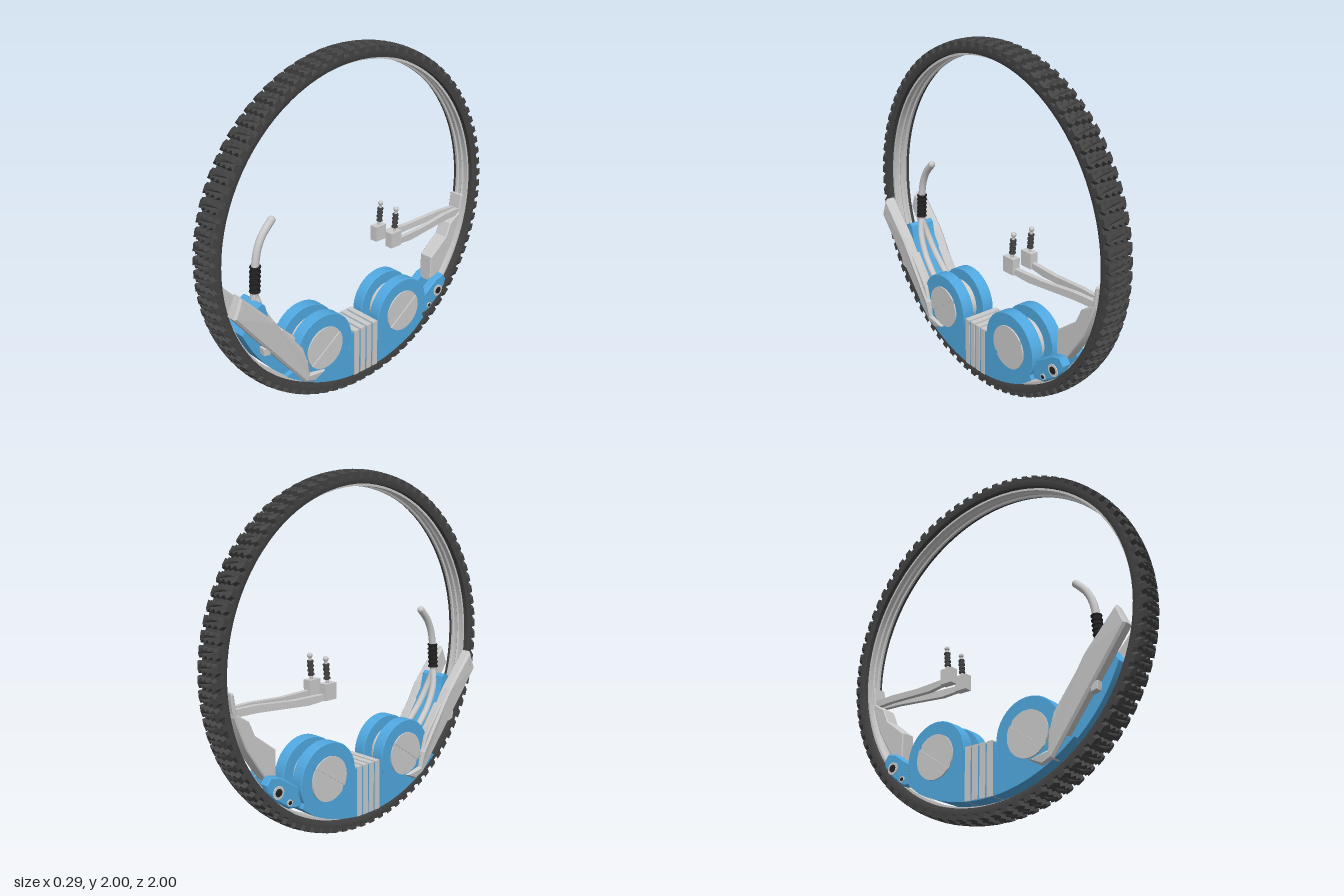
import * as THREE from 'three';
import { mergeGeometries, toCreasedNormals } from 'three/addons/utils/BufferGeometryUtils.js';

const grey = new THREE.MeshStandardMaterial({ color: 0xcccccc });
const blue = new THREE.MeshStandardMaterial({ color: 0x50a8e0 });
const dark = new THREE.MeshStandardMaterial({ color: 0x444444 });
const black = new THREE.MeshStandardMaterial({ color: 0x222222 });

// Points on an arc in the side plane (z, y), angles in degrees
function arc(cz, cy, r, a0, a1, n) {
  return Array.from({ length: n + 1 }, (_, i) => {
    const a = THREE.MathUtils.degToRad(a0 + (a1 - a0) * i / n);
    return [cz + r * Math.cos(a), cy + r * Math.sin(a)];
  });
}

// Side outline (z, y) extruded from x0 to x1
function slab(pts, x0, x1, bevel = 0) {
  const shape = new THREE.Shape(pts.map(p => new THREE.Vector2(...p)));
  const depth = x1 - x0 - 2 * bevel;
  const g = new THREE.ExtrudeGeometry(shape, {
    depth, bevelEnabled: bevel > 0, bevelThickness: bevel, bevelSize: bevel,
    bevelOffset: -bevel, bevelSegments: 1
  });
  g.translate(0, 0, -depth / 2).rotateY(-Math.PI / 2).translate((x0 + x1) / 2, 0, 0);
  return toCreasedNormals(g, 0.5);
}

// Cylinder lying along x
function disc(r, x0, x1, y, z, seg = 48) {
  return new THREE.CylinderGeometry(r, r, x1 - x0, seg).rotateZ(Math.PI / 2).translate((x0 + x1) / 2, y, z);
}

// Closed ring profile [radius, x] turned around the x axis
function ring(profile) {
  const pts = [...profile, profile[0]].map(p => new THREE.Vector2(...p));
  return toCreasedNormals(new THREE.LatheGeometry(pts, 96).rotateZ(Math.PI / 2), 0.5);
}

function tube(pts, r) {
  const curve = new THREE.CatmullRomCurve3(pts.map(p => new THREE.Vector3(...p)));
  return new THREE.TubeGeometry(curve, 20, r, 12);
}

// One zigzag tread bar, crowned towards the middle of the tyre
function treadBar() {
  const top = [], bottom = [];
  for (let i = 0; i <= 8; i++) {
    const x = -0.08 + 0.02 * i, s = i % 2 ? 0.009 : -0.009;
    top.push(new THREE.Vector2(x, s + 0.02));
    bottom.push(new THREE.Vector2(x, s - 0.02));
  }
  const g = new THREE.ExtrudeGeometry(new THREE.Shape([...bottom, ...top.reverse()]), { depth: 0.04, bevelEnabled: false });
  const p = g.attributes.position;
  for (let i = 0; i < p.count; i++) {
    const crown = 0.014 * (p.getX(i) / 0.08) ** 2;
    p.setZ(i, p.getZ(i) + 0.96 - crown);
  }
  g.computeVertexNormals();
  return g;
}

export function createModel() {
  const model = new THREE.Group();
  const add = (name, geometry, material = grey) => {
    const m = new THREE.Mesh(geometry, material);
    m.name = name;
    model.add(m);
    return m;
  };
  const sides = [[1, 'left'], [-1, 'right']];
  const span = (s, a, b) => s > 0 ? [a, b] : [-b, -a];

  // Wheel: tyre, treads and channelled rim
  add('tyre', ring([[0.925, -0.072], [0.95, -0.08], [0.962, -0.078], [0.97, 0], [0.962, 0.078], [0.95, 0.08], [0.925, 0.072]]), dark).position.y = 1;
  const bars = [], N = 84;
  for (let i = 0; i < N; i++) bars.push(treadBar().rotateX(i / N * Math.PI * 2));
  add('tyreTreads', mergeGeometries(bars), dark).position.y = 1;
  add('rim', ring([[0.935, -0.045], [0.935, 0.045], [0.912, 0.045], [0.912, 0.032], [0.922, 0.028], [0.922, 0.008],
    [0.914, 0], [0.922, -0.008], [0.922, -0.028], [0.912, -0.032], [0.912, -0.045]])).position.y = 1;

  // Lower hull and narrower nose inside the wheel
  add('hull', slab([...arc(0, 1, 0.9, -117, -50, 32), [0.5, 0.33], [0.31, 0.25], [0.12, 0.3], [0.1, 0.385],
    [-0.1, 0.385], [-0.12, 0.3], [-0.3, 0.25], [-0.47, 0.3], [-0.49, 0.26]], -0.108, 0.108), blue);
  add('nose', slab([...arc(0, 1, 0.9, -62, -23, 20), [0.75, 0.76], [0.7, 0.785], [0.68, 0.77], [0.66, 0.68],
    [0.5, 0.46], [0.44, 0.4], [0.4, 0.28]], -0.078, 0.078), blue);
  for (let i = 0; i < 4; i++)
    add('hullRib', new THREE.BoxGeometry(0.226, 0.29, 0.035).translate(0, 0.249, (i - 1.5) * 0.048));

  // Twin drums, each with a core, two discs and slotted caps
  for (const z of [0.31, -0.3]) {
    add('drumCore', disc(0.13, -0.06, 0.06, 0.38, z));
    for (const [s, side] of sides) {
      add(side + 'DrumDisc', slab(arc(z, 0.38, 0.2, 0, 354, 59), ...span(s, 0.036, 0.108), 0.004), blue);
      add(side + 'CapBase', disc(0.125, ...span(s, 0.09, 0.1095), 0.38, z));
      for (const a of [-35, 145])
        add(side + 'CapHalf', slab(arc(z, 0.38, 0.125, a - 175 + 180, a + 175, 28), ...span(s, 0.1, 0.116)));
    }
  }

  for (const [s, side] of sides) {
    // Front leg shell, tapering inwards at its foot
    const shell = slab([[0.866, 0.91], [0.914, 0.8], [0.46, 0.225], [0.396, 0.2], [0.316, 0.245], [0.43, 0.27],
      [0.445, 0.36], [0.674, 0.706]].reverse(), ...span(s, 0.072, 0.145), 0.012);
    const p = shell.attributes.position;
    for (let i = 0; i < p.count; i++) {
      const t = THREE.MathUtils.clamp((0.55 - p.getY(i)) / 0.35, 0, 1);
      p.setX(i, p.getX(i) - s * 0.026 * t * t);
    }
    shell.computeVertexNormals();
    add(side + 'LegShell', shell);
    add(side + 'ShellPad', slab([[0.645, 0.61], [0.52, 0.42], [0.45, 0.36], [0.475, 0.45], [0.61, 0.625]].reverse(),
      ...span(s, 0.07, 0.128), 0.006));
    add(side + 'ShellStep', slab([[0.735, 0.555], [0.73, 0.51], [0.69, 0.5], [0.69, 0.555]].reverse(),
      ...span(s, 0.084, 0.125), 0.004));
    const slot = add(side + 'ShellSlot', disc(0.02, ...span(s, 0.14, 0.147), 0, 0, 20));
    slot.scale.set(1, 1.6, 0.6);
    slot.position.set(0, 0.835, 0.868);
    slot.rotation.x = -0.4;

    // Control lever leg
    add(side + 'LeverLeg', tube([[0, 0.8, 0.685], [s * 0.02, 0.72, 0.665], [s * 0.035, 0.6, 0.6], [s * 0.045, 0.47, 0.48]], 0.02));

    // Rear bracket with bolts
    add(side + 'RearBracket', slab([[-0.42, 0.25], [-0.5, 0.265], [-0.56, 0.275], [-0.64, 0.335], [-0.7, 0.4], [-0.71, 0.44],
      [-0.68, 0.48], [-0.62, 0.465], [-0.54, 0.41], [-0.46, 0.36]].reverse(), ...span(s, 0.03, 0.085), 0.008), blue);
    for (const [r, y, z] of [[0.036, 0.385, -0.635], [0.018, 0.31, -0.56]]) {
      add(side + 'BracketWasher', disc(r, ...span(s, 0.07, 0.09), y, z, 24));
      add(side + 'BracketBolt', disc(r * 0.6, ...span(s, 0.07, 0.092), y, z, 24), black);
    }

    // Rear arm spreading towards its hand block and peg
    const arm = slab([[-0.87, 0.815], [-0.87, 0.855], [-0.72, 0.855], [-0.5, 0.838], [-0.29, 0.838],
      [-0.29, 0.805], [-0.4, 0.795], [-0.72, 0.815]], -0.014, 0.014);
    const a = arm.attributes.position;
    for (let i = 0; i < a.count; i++) a.setX(i, a.getX(i) + s * (0.02 + 0.042 * (a.getZ(i) + 0.87) / 0.58));
    arm.computeVertexNormals();
    add(side + 'RearArm', arm);
    add(side + 'HandBlock', new THREE.BoxGeometry(0.048, 0.09, 0.08).translate(s * 0.062, 0.848, -0.26));
    const peg = new THREE.Group();
    peg.name = side + 'Peg';
    const part = (g, m, y) => { const k = new THREE.Mesh(g, m); k.position.y = y; peg.add(k); };
    part(new THREE.CylinderGeometry(0.009, 0.009, 0.14, 12), grey, 0.07);
    part(new THREE.CylinderGeometry(0.015, 0.013, 0.085, 12), dark, 0.065);
    for (let i = 0; i < 4; i++) part(new THREE.CylinderGeometry(0.018, 0.018, 0.01, 12), dark, 0.03 + i * 0.024);
    part(new THREE.SphereGeometry(0.015, 12, 8), grey, 0.135);
    peg.position.set(s * 0.062, 0.89, -0.265);
    peg.rotation.x = -0.08;
    model.add(peg);
  }

  // Curved rear strut
  add('rearStrut', slab([[-0.61, 0.44], [-0.61, 0.6], [-0.74, 0.7], [-0.775, 0.78], [-0.85, 0.83], [-0.865, 0.94],
    [-0.885, 0.94], [-0.875, 0.85], [-0.85, 0.77], [-0.8, 0.64], [-0.73, 0.53], [-0.67, 0.44]], -0.045, 0.045, 0.006));

  // Control lever with ribbed grip
  add('lever', tube([[0, 0.78, 0.69], [0, 0.95, 0.675], [0, 1.05, 0.655], [0, 1.12, 0.62], [0, 1.185, 0.56]], 0.021));
  add('leverTip', new THREE.SphereGeometry(0.0215, 14, 10).translate(0, 1.185, 0.56));
  add('leverGrip', tube([[0, 0.82, 0.683], [0, 0.89, 0.68], [0, 0.96, 0.674]], 0.026), black);
  for (let i = 0; i < 6; i++)
    add('gripRing', new THREE.TorusGeometry(0.025, 0.006, 8, 20).rotateX(Math.PI / 2).translate(0, 0.825 + i * 0.027, 0.683 - i * 0.002), black);

  return model;
}
